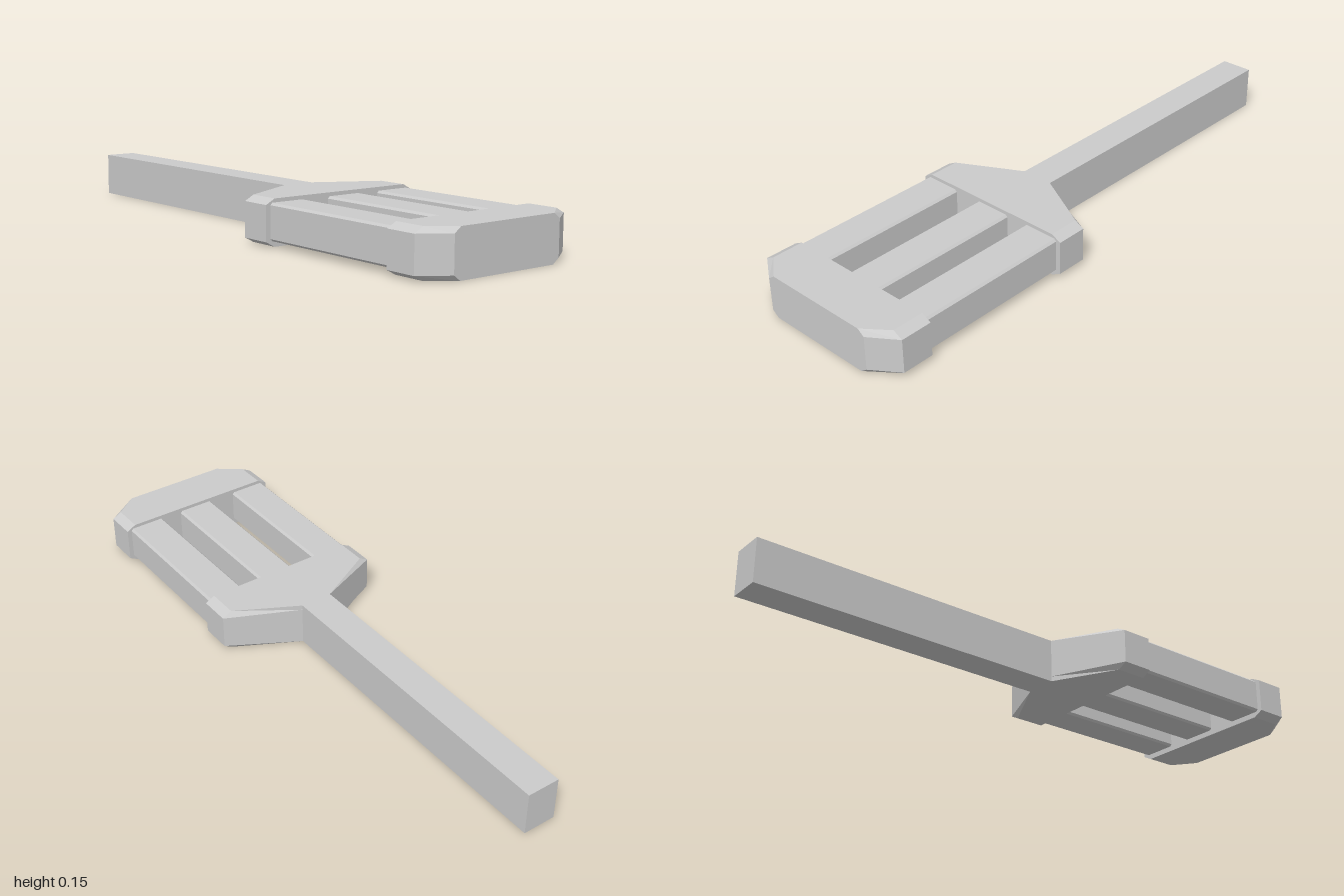
import * as THREE from 'three';

const H = 0.146;
const material = new THREE.MeshStandardMaterial({ color: 0xcccccc, flatShading: true });

// Eight-sided section, anticlockwise seen from +z: w = full half width, t = half width of top and bottom
function section([z, w, t], y0, y1, c) {
  return [[t, y0], [w, y0 + c], [w, y1 - c], [t, y1], [-t, y1], [-w, y1 - c], [-w, y0 + c], [-t, y0]]
    .map(([x, y]) => new THREE.Vector3(x, y, z));
}

// Faceted solid through sections given from back to front
function loft(stations, y0, y1, c) {
  const rings = stations.map((s) => section(s, y0, y1, c));
  const pts = [];
  for (let i = 0; i + 1 < rings.length; i++) {
    const a = rings[i], b = rings[i + 1];
    for (let j = 0; j < 8; j++) {
      const k = (j + 1) % 8;
      pts.push(a[j], a[k], b[k], a[j], b[k], b[j]);
    }
  }
  const back = rings[0], front = rings[rings.length - 1];
  for (let j = 1; j < 7; j++) {
    pts.push(front[0], front[j], front[j + 1], back[0], back[j + 1], back[j]);
  }
  const geometry = new THREE.BufferGeometry().setFromPoints(pts);
  geometry.computeVertexNormals();
  return geometry;
}

export function createModel() {
  const model = new THREE.Group();
  model.name = 'slottedPaddle';
  const add = (name, geometry, x = 0) => {
    const mesh = new THREE.Mesh(geometry, material);
    mesh.name = name;
    mesh.position.x = x;
    model.add(mesh);
    return mesh;
  };

  // Long square handle
  const handle = add('handle', new THREE.BoxGeometry(0.11, H, 1.09));
  handle.position.set(0, H / 2, -0.455);

  // Shoulder flaring out from the handle
  add('shoulder', loft([[0.09, 0.055, 0.055], [0.2, 0.292, 0.26], [0.305, 0.292, 0.26]], 0, H, 0.017));

  // End cap with cut corners
  add('endCap', loft([[0.835, 0.292, 0.26], [0.94, 0.292, 0.26], [1, 0.205, 0.182]], 0, H, 0.017));

  // Three bars joining shoulder and cap
  [['rightBar', -0.212], ['middleBar', 0.01], ['leftBar', 0.212]].forEach(([name, x]) => {
    add(name, loft([[0.29, 0.064, 0.057], [0.85, 0.064, 0.057]], 0.018, 0.134, 0.007), x);
  });

  return model;
}
